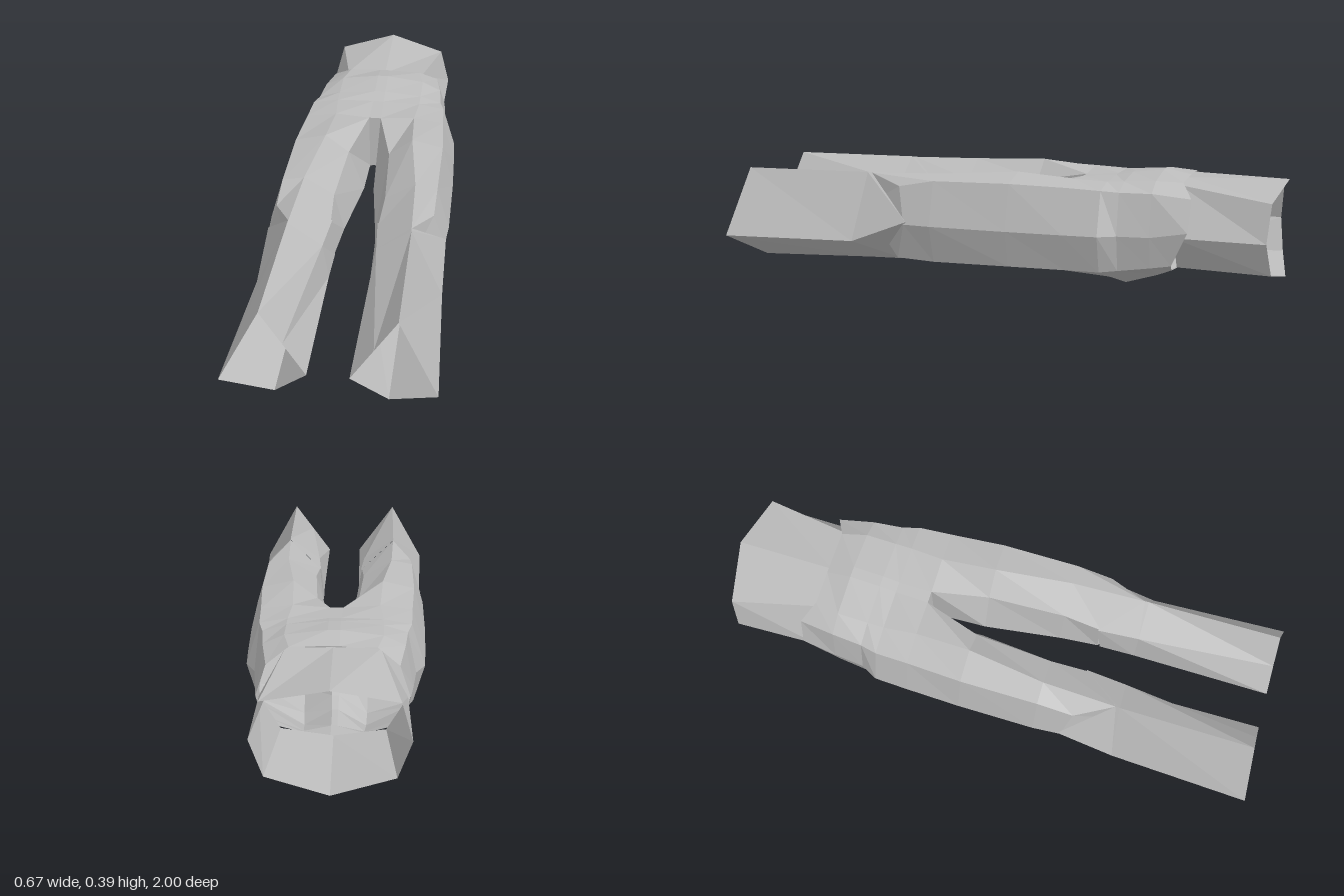
import * as THREE from 'three';

// Skin a list of closed rings of [x, y, z]; optionally fan the last ring to a point.
function skin(rings, material, name, capPoint) {
  const n = rings[0].length;
  const index = [];
  for (let i = 0; i < rings.length - 1; i++) {
    for (let j = 0; j < n; j++) {
      const k = (j + 1) % n;
      const a = i * n + j, b = i * n + k, c = a + n, d = b + n;
      index.push(a, c, b, b, c, d);
    }
  }
  const points = rings.flat();
  if (capPoint) {
    const start = (rings.length - 1) * n;
    points.push(capPoint);
    for (let j = 0; j < n; j++) index.push(start + j, points.length - 1, start + (j + 1) % n);
  }
  const geometry = new THREE.BufferGeometry();
  geometry.setAttribute('position', new THREE.Float32BufferAttribute(points.flat(), 3));
  geometry.setIndex(index);
  const flat = geometry.toNonIndexed();
  flat.computeVertexNormals();
  const mesh = new THREE.Mesh(flat, material);
  mesh.name = name;
  return mesh;
}

const flip = ([x, y, z]) => [-x, y, z];
const atZ = (z, half) => half.map(([x, y, own]) => [x, y, own ?? z]);
// Half section, top to bottom, completed on the other side.
const fullRing = (half) => [...half, ...half.filter(([x]) => x > 0).reverse().map(flip)];
const mirrorRing = (ring) => ring.map(flip).reverse();

export function createModel() {
  const group = new THREE.Group();
  group.name = 'trousers';
  const cloth = new THREE.MeshStandardMaterial({ color: 0xbcbcbc, flatShading: true, side: THREE.DoubleSide });
  cloth.name = 'grey cloth';

  // Open waist
  const waist = [
    atZ(-0.97, [[0, 0.382, -1], [0.21, 0.33, -0.965], [0.245, 0.2, -0.955], [0.2, 0.085, -0.97], [0, 0.04, -1]]),
    atZ(-0.65, [[0, 0.37], [0.15, 0.367], [0.238, 0.2], [0.17, 0.085], [0, 0.06]]),
  ];
  group.add(skin(waist.map(fullRing), cloth, 'waist'));

  // Hips and seat
  const crotch = atZ(-0.28, [[0.022, 0.36], [0.15, 0.37], [0.26, 0.355], [0.308, 0.2], [0.27, 0.07], [0.11, 0.055], [0.018, 0.15]]);
  const hips = [
    atZ(-0.66, [[0.02, 0.378], [0.14, 0.374], [0.21, 0.33, -0.7], [0.245, 0.22, -0.695], [0.225, 0.1, -0.64], [0.1, 0.055, -0.62], [0.01, 0.055, -0.64]]),
    atZ(-0.57, [[0.02, 0.396], [0.16, 0.378], [0.23, 0.345], [0.258, 0.2], [0.235, 0.09], [0.1, 0.035], [0.01, 0.055]]),
    atZ(-0.46, [[0.02, 0.383], [0.16, 0.37], [0.24, 0.345], [0.27, 0.2], [0.245, 0.075], [0.105, 0.002], [0.01, 0.06]]),
    atZ(-0.4, [[0.02, 0.37], [0.16, 0.367], [0.255, 0.35], [0.302, 0.2], [0.265, 0.07], [0.108, 0.018], [0.012, 0.085]]),
    crotch,
  ];
  group.add(skin(hips.map(fullRing), cloth, 'hips'));

  // Narrow panel between the thighs
  const panel = new THREE.Mesh(new THREE.BoxGeometry(0.044, 0.21, 0.004), cloth);
  panel.name = 'crotchPanel';
  panel.position.set(0, 0.255, -0.282);
  group.add(panel);

  // Thigh, ending in a point above the knee
  const thigh = [
    crotch,
    atZ(-0.08, [[0.075, 0.32], [0.16, 0.386], [0.272, 0.36], [0.315, 0.2], [0.28, 0.07], [0.12, 0.055], [0.018, 0.165]]),
    atZ(0.2, [[0.09, 0.305], [0.195, 0.37], [0.272, 0.355], [0.317, 0.2], [0.275, 0.065], [0.14, 0.05], [0.055, 0.165]]),
    atZ(0.34, [[0.082, 0.285], [0.205, 0.362, 0.465], [0.27, 0.33, 0.33], [0.31, 0.2, 0.3], [0.27, 0.07], [0.16, 0.05], [0.07, 0.155]]),
  ];
  const kneeCentre = [0.2, 0.235, 0.5];

  // Lower leg, open at the hem: top, outer, bottom, inner, upper inner
  const lowerLeg = [
    [[0.205, 0.363, 0.465], [0.312, 0.21, 0.29], [0.18, 0.045, 0.36], [0.068, 0.155, 0.35], [0.078, 0.285, 0.33]],
    [[0.206, 0.363, 0.48], [0.315, 0.128, 0.5], [0.18, 0.042, 0.48], [0.07, 0.155, 0.48], [0.09, 0.28, 0.48]],
    [[0.21, 0.358, 0.96], [0.337, 0.12, 1], [0.18, 0.024, 0.92], [0.066, 0.152, 0.985], [0.138, 0.255, 0.972]],
  ];

  // Left leg and its mirrored twin
  group.add(skin(thigh, cloth, 'leftThigh', kneeCentre));
  group.add(skin(lowerLeg, cloth, 'leftLowerLeg'));
  group.add(skin(thigh.map(mirrorRing), cloth, 'rightThigh', flip(kneeCentre)));
  group.add(skin(lowerLeg.map(mirrorRing), cloth, 'rightLowerLeg'));
  return group;
}
